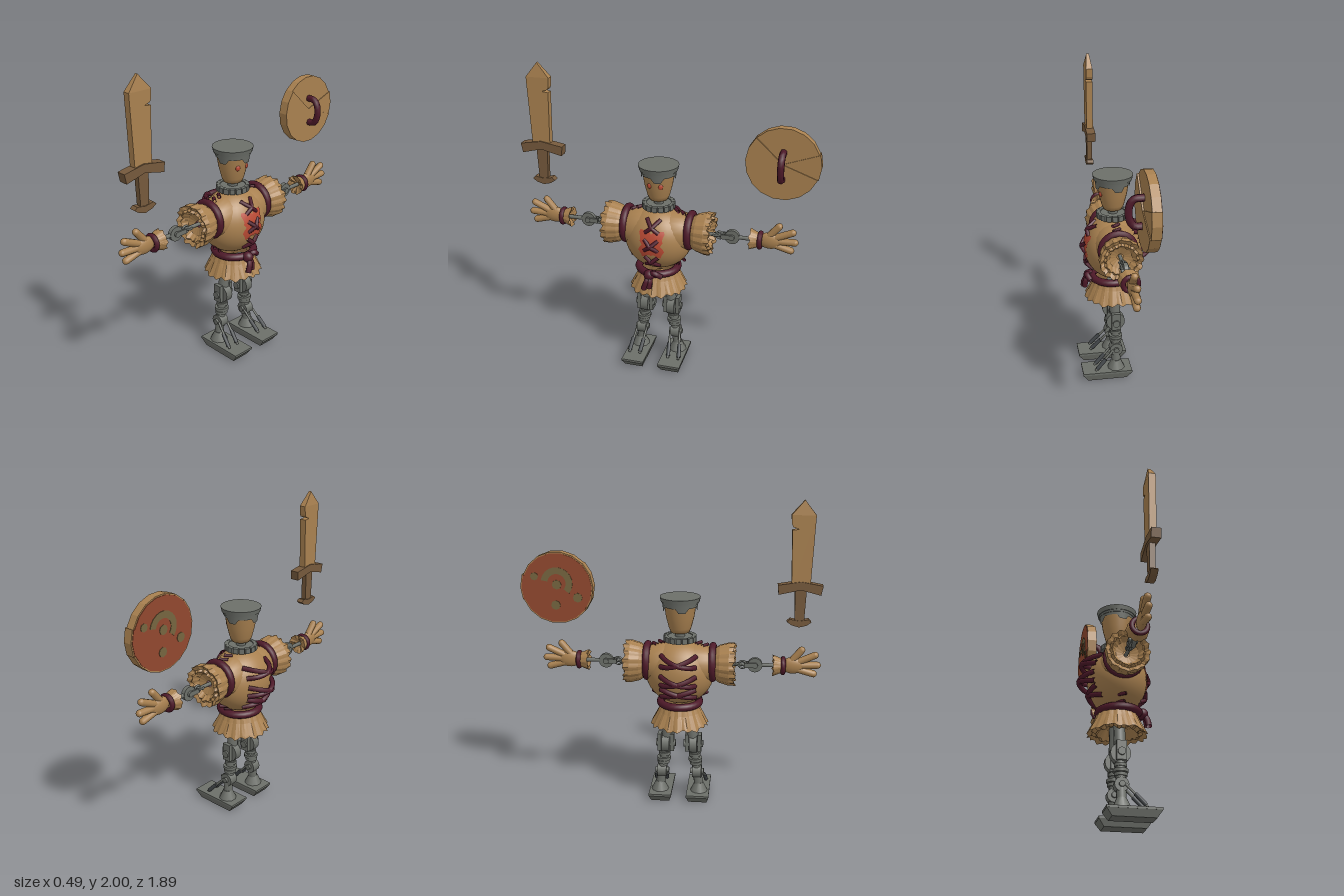
import * as THREE from 'three';

const mat = (name, color) => Object.assign(new THREE.MeshStandardMaterial({ color, side: THREE.DoubleSide }), { name });
const V = (x, y, z) => new THREE.Vector3(x, y, z);

export function createModel() {
  const root = new THREE.Group();
  root.name = 'puppetWarrior';
  const fig = new THREE.Group();
  fig.name = 'figure';
  fig.position.set(0.01, 0, 0.045);
  root.add(fig);

  const tan = mat('tan wood', 0xa98150), brown = mat('dark wood', 0x75593c), grey = mat('grey metal', 0x6c6f69);
  const dark = mat('dark metal', 0x43474a), cordRed = mat('dark red cord', 0x4e1929), paint = mat('red paint', 0xba4a34);
  const rust = mat('rust paint', 0x91482f), olive = mat('olive paint', 0x75653f);

  const add = (name, geo, m, x = 0, y = 0, z = 0, parent = fig) => {
    const o = new THREE.Mesh(geo, m);
    o.name = name;
    o.position.set(x, y, z);
    parent.add(o);
    return o;
  };
  const rod = (name, a, b, r, m, cap = false) => {
    const len = a.distanceTo(b);
    const o = add(name, cap ? new THREE.CapsuleGeometry(r, len, 4, 10) : new THREE.CylinderGeometry(r, r, len, 10), m);
    o.position.copy(a).lerp(b, 0.5);
    o.quaternion.setFromUnitVectors(V(0, 1, 0), b.clone().sub(a).normalize());
    return o;
  };
  const cord = (name, pts, r, parent = fig) =>
    add(name, new THREE.TubeGeometry(new THREE.CatmullRomCurve3(pts), 14, r, 7), cordRed, 0, 0, 0, parent);
  const lathe = (name, pts, m, seg = 24) =>
    add(name, new THREE.LatheGeometry(pts.map(p => new THREE.Vector2(...p)), seg), m);
  const disc = (name, r, w, axis, x, y, z) => {
    const g = new THREE.CylinderGeometry(r, r, w, 16);
    axis === 'x' ? g.rotateZ(Math.PI / 2) : g.rotateX(Math.PI / 2);
    return add(name, g, grey, x, y, z);
  };
  // Pleated cloth: a lathe whose radius ripples and whose outer rows are ragged
  const frill = (name, pts, pleats, ragFrom, rag) => {
    const g = new THREE.LatheGeometry(pts.map(p => new THREE.Vector2(...p)), pleats * 4).toNonIndexed();
    const p = g.attributes.position;
    for (let i = 0; i < p.count; i++) {
      const a = Math.atan2(p.getZ(i), p.getX(i)), y = p.getY(i);
      const f = 1 + (y > ragFrom ? 0.035 : 0.02) * Math.cos(a * pleats);
      const tear = y > ragFrom ? rag * (Math.sin(a * pleats + 1) + Math.sin(a * 7)) * 0.5 : 0;
      p.setXYZ(i, p.getX(i) * f, y + tear, p.getZ(i) * f);
    }
    g.computeVertexNormals();
    return add(name, g, tan);
  };

  // Head, cap and collar
  lathe('head', [[0, 1.165], [0.06, 1.17], [0.072, 1.2], [0.09, 1.27], [0.102, 1.35]], tan);
  add('capRim', new THREE.CylinderGeometry(0.129, 0.122, 0.03, 28), grey, 0, 1.385);
  add('capBand', new THREE.CylinderGeometry(0.119, 0.115, 0.02, 28), grey, 0, 1.367);
  const capSkirt = new THREE.CylinderGeometry(0.115, 0.108, 0.04, 32, 1, true);
  for (let i = 0, p = capSkirt.attributes.position; i < p.count; i++)
    if (p.getY(i) < 0 && (i % 33) % 8 < 3) p.setY(i, -0.048);
  add('capSkirt', capSkirt, grey, 0, 1.36);
  for (const s of [-1, 1]) {
    const eye = add('eye', new THREE.SphereGeometry(0.017, 14, 10), paint, 0.084, 1.282, s * 0.037);
    eye.rotation.y = -s * 0.42;
    eye.scale.set(0.45, 1.05, 0.9);
  }
  rod('neck', V(0, 1.08, 0), V(0, 1.18, 0), 0.032, grey);
  add('collar', new THREE.CylinderGeometry(0.09, 0.09, 0.026, 24), grey, 0, 1.128);
  for (let i = 0; i < 16; i++) {
    const a = i / 16 * Math.PI * 2;
    add('collarTooth', new THREE.BoxGeometry(0.026, 0.034, 0.033), grey, Math.cos(a) * 0.092, 1.13, Math.sin(a) * 0.092).rotation.y = -a;
  }

  // Round stuffed body
  const R = { x: 0.187, y: 0.21, z: 0.222 }, CY = 0.905;
  const surf = (y, z) => R.x * Math.sqrt(Math.max(0, 1 - ((y - CY) / R.y) ** 2 - (z / R.z) ** 2));
  add('body', new THREE.SphereGeometry(1, 36, 26), tan, 0, CY).scale.set(R.x, R.y, R.z);
  const barrel = lathe('shoulders', [[0.1, -0.23], [0.125, -0.17], [0.142, -0.1], [0.142, 0.1], [0.125, 0.17], [0.1, 0.23]], tan);
  barrel.rotation.x = Math.PI / 2;
  barrel.position.y = 0.955;

  // Ragged four-cornered paint splash following the chest
  const splash = new THREE.RingGeometry(0.001, 1, 40, 8);
  for (let i = 0, p = splash.attributes.position; i < p.count; i++) {
    const a = Math.atan2(p.getY(i), p.getX(i)), k = 0.083 - 0.018 * Math.cos(a * 4) + 0.008 * Math.sin(a * 11);
    const z = -p.getX(i) * k, y = 0.93 + p.getY(i) * k * 1.12;
    p.setXYZ(i, surf(y, z) + 0.005, y, z);
  }
  splash.computeVertexNormals();
  add('chestPaint', splash, paint);

  // Tight cross lacing in front, slack lacing behind
  for (const y of [1.035, 0.92, 0.8]) for (const s of [-1, 1]) {
    const pts = [-1, -0.5, 0, 0.5, 1].map(t => V(surf(y + t * 0.036, t * 0.043) + (1 - Math.abs(t)) * 0.02, y + t * 0.036, s * t * 0.043));
    cord('chestLace', pts, 0.013);
  }
  for (const [y, slack] of [[1.01, 0.08], [0.89, 0.07], [0.8, 0.025]]) for (const s of [-1, 1]) {
    const pts = [-1, -0.6, 0, 0.6, 1].map(t => V(-surf(y + t * 0.03, t * 0.11) - (1 - t * t) * slack * 0.8, y + t * 0.03, s * t * 0.11));
    cord('backLace', pts, 0.016);
  }

  // Waist cord with knot, and pleated skirt
  const belt = add('waistCord', new THREE.TorusGeometry(0.127, 0.025, 10, 32), cordRed, 0.01, 0.695);
  belt.rotation.x = Math.PI / 2;
  add('knot', new THREE.SphereGeometry(0.036, 12, 10), cordRed, 0.158, 0.695, 0.02);
  cord('knotTail', [V(0.16, 0.69, 0.02), V(0.185, 0.66, 0.03), V(0.192, 0.605, 0.05)], 0.019);
  cord('knotTail', [V(0.16, 0.69, 0.02), V(0.18, 0.66, 0.01), V(0.188, 0.615, 0.015)], 0.019);
  cord('knotLoop', [V(0.15, 0.7, 0.02), V(0.175, 0.72, -0.02), V(0.155, 0.69, -0.06)], 0.018);
  const skirt = frill('skirt', [[0.12, 0], [0.14, 0.05], [0.178, 0.125], [0.184, 0.138], [0.155, 0.12], [0.13, 0.135], [0.09, 0.08], [0.02, 0.05]], 18, 0.11, 0.012);
  skirt.rotation.x = Math.PI;
  skirt.position.y = 0.69;

  for (const s of [-1, 1]) {
    const AY = 0.963, P = (x, y, z) => V(x, y, s * z);
    const turn = s * Math.PI / 2;

    // Shoulder cord, seam stitches above and below, and ruffled sleeve
    add('shoulderCord', new THREE.TorusGeometry(0.107, 0.023, 10, 28), cordRed, 0, 0.972, s * 0.21);
    for (const [y, z] of [[1.1, 0.12], [1.085, 0.16], [0.727, 0.12], [0.76, 0.162]])
      cord('seamStitch', [P(-0.022, y, z - 0.016), P(0, y, z), P(0.022, y, z + 0.016)], 0.011);
    const sleeve = frill('sleeve', [[0.1, 0], [0.12, 0.03], [0.136, 0.09], [0.134, 0.126], [0.108, 0.11], [0.095, 0.125], [0.07, 0.09], [0.02, 0.07]], 16, 0.092, 0.012);
    sleeve.rotation.x = turn;
    sleeve.position.set(0, AY, s * 0.225);

    // Linked metal arm
    rod('upperArm', P(0, AY, 0.28), P(0, AY, 0.41), 0.012, grey);
    add('armLink', new THREE.TorusGeometry(0.024, 0.007, 6, 14), grey, 0, AY, s * 0.4).rotation.y = Math.PI / 2;
    add('armLink', new THREE.TorusGeometry(0.02, 0.007, 6, 14), grey, 0, AY, s * 0.375).rotation.x = Math.PI / 2;
    for (const x of [-0.02, 0.02]) add('elbowFork', new THREE.BoxGeometry(0.01, 0.03, 0.08), grey, x, AY, s * 0.45);
    disc('elbowDisc', 0.047, 0.026, 'x', 0, AY, s * 0.48);
    disc('elbowPin', 0.018, 0.056, 'x', 0, AY, s * 0.48);
    rod('forearm', P(0, AY, 0.5), P(0, AY, 0.62), 0.013, grey);

    // Glove with frilled cuff
    const cuff = frill('cuff', [[0.042, 0], [0.052, 0.03], [0.066, 0.066], [0.045, 0.06], [0.01, 0.04]], 10, 0.05, 0.007);
    cuff.rotation.x = -turn;
    cuff.position.set(0, AY, s * 0.66);
    add('wristCord', new THREE.TorusGeometry(0.045, 0.016, 8, 20), cordRed, 0, AY, s * 0.657);
    add('palm', new THREE.SphereGeometry(1, 16, 12), tan, 0, AY + 0.004, s * 0.718).scale.set(0.03, 0.054, 0.078);
    const fingers = [[0.985, 0.7, 1.07, 0.77], [0.99, 0.75, 1.038, 0.855], [0.968, 0.75, 0.973, 0.872], [0.945, 0.74, 0.915, 0.85]];
    for (const [y0, z0, y1, z1] of fingers) rod('finger', P(0, y0, z0), P(0, y1, z1), 0.0225, tan, true);

    // Jointed metal leg, splayed slightly outward
    const Z = y => 0.07 + (0.56 - y) * 0.13;
    const leg = (y, dz = 0) => s * Z(y) + dz;
    rod('thigh', P(0, 0.62, Z(0.62)), P(0, 0.4, Z(0.4)), 0.036, grey);
    disc('kneeDisc', 0.062, 0.05, 'z', 0, 0.4, leg(0.4));
    disc('kneePin', 0.024, 0.13, 'z', 0, 0.4, leg(0.4));
    for (const d of [-0.042, 0.042]) add('kneePlate', new THREE.BoxGeometry(0.06, 0.12, 0.024), grey, 0, 0.41, leg(0.4, d));
    rod('calf', P(0, 0.37, Z(0.37)), P(0, 0.06, Z(0.06)), 0.03, grey);
    for (const [y, r] of [[0.325, 0.038], [0.29, 0.046], [0.265, 0.04]])
      add('calfRing', new THREE.CylinderGeometry(r, r, 0.02, 14), grey, 0, y, leg(y));
    disc('ankleDisc', 0.044, 0.06, 'z', 0, 0.2, leg(0.2));
    disc('anklePin', 0.018, 0.09, 'z', 0, 0.2, leg(0.2));
    add('heel', new THREE.CylinderGeometry(0.03, 0.058, 0.06, 10), grey, 0, 0.09, leg(0.09));
    for (const d of [-0.036, 0.036]) {
      rod('footPiston', V(0.02, 0.2, leg(0.2, d * 0.9)), V(0.145, 0.065, leg(0.06, d)), 0.008, grey);
      rod('pistonSleeve', V(0.075, 0.141, leg(0.13, d)), V(0.135, 0.076, leg(0.06, d)), 0.013, dark);
    }
    add('footTop', new THREE.BoxGeometry(0.33, 0.014, 0.15), grey, 0.065, 0.053, s * 0.125);
    const sole = new THREE.BoxGeometry(0.328, 0.046, 0.148);
    for (let i = 0, p = sole.attributes.position; i < p.count; i++)
      if (p.getY(i) < 0) p.setXYZ(i, p.getX(i) * 0.8, p.getY(i), p.getZ(i) * 0.82);
    sole.computeVertexNormals();
    add('sole', sole, grey, 0.065, 0.023, s * 0.125);
  }

  // Flat wooden pieces drawn in the z-y plane with thickness along x
  const plate = (name, pts, x0, x1, m) => {
    const g = new THREE.ExtrudeGeometry(new THREE.Shape(pts.map(p => new THREE.Vector2(...p))), { depth: x1 - x0, bevelEnabled: false });
    g.rotateY(-Math.PI / 2);
    return add(name, g, m, x1, 0, 0, root);
  };
  const arc = (cz, cy, r, a0, a1, n) => Array.from({ length: n + 1 }, (_, i) => {
    const a = (a0 + (a1 - a0) * i / n) * Math.PI / 180;
    return [cz + r * Math.cos(a), cy + r * Math.sin(a)];
  });

  // Sword
  const blade = plate('swordBlade', [[0.85, 1.46], [0.735, 1.46], [0.724, 1.82], [0.766, 1.824], [0.728, 1.838], [0.72, 1.855],
    [0.716, 1.91], [0.793, 2], [0.865, 1.91]], 0.04, 0.084, tan);
  const bp = blade.geometry.attributes.position;
  for (let i = 0; i < bp.count; i++) if (bp.getY(i) > 1.95) bp.setX(i, -0.022 + (bp.getX(i) + 0.022) * 0.4);
  blade.geometry.computeVertexNormals();
  plate('swordGuard', [[0.93, 1.478], [0.918, 1.418], [0.793, 1.45], [0.656, 1.418], [0.65, 1.478], [0.793, 1.502]], 0.033, 0.093, brown);
  plate('swordGrip', [[0.83, 1.46], [0.822, 1.24], [0.764, 1.24], [0.756, 1.46]], 0.045, 0.08, brown);
  plate('swordPommel', [[0.868, 1.243], [0.84, 1.222], [0.793, 1.209], [0.745, 1.222], [0.715, 1.243], [0.735, 1.26], [0.793, 1.25], [0.85, 1.26]], 0.04, 0.085, brown);

  // Shield of three uneven boards, painted on the outside
  const SZ = -0.715, SY = 1.46;
  for (const [a0, a1, r, x] of [[43, 160, 0.226, -0.04], [160, 200, 0.233, -0.036], [200, 403, 0.228, -0.03]]) {
    const n = Math.round((a1 - a0) / 20);
    plate('shieldBoard', [[SZ, SY], ...arc(SZ, SY, r, a0, a1, n)], -0.093, x, tan);
    plate('shieldPaint', [[SZ, SY], ...arc(SZ, SY, r - 0.008, a0, a1, n)], -0.096, -0.092, rust);
  }
  plate('shieldMark', [...arc(SZ, SY + 0.03, 0.1, -40, 170, 12), ...arc(SZ, SY + 0.03, 0.058, 170, -40, 12)], -0.099, -0.095, olive);
  for (const [dz, dy, r] of [[-0.01, -0.11, 0.03], [0.13, -0.06, 0.03], [-0.14, 0.07, 0.025], [0.0, 0.02, 0.03]])
    plate('shieldFleck', arc(SZ + dz, SY + dy, r, 0, 315, 7), -0.099, -0.095, olive);
  cord('shieldHandle', [V(-0.045, 1.535, SZ), V(0.015, 1.53, SZ), V(0.042, 1.49, SZ), V(0.042, 1.42, SZ), V(0.015, 1.375, SZ), V(-0.045, 1.37, SZ)], 0.022, root);

  return root;
}
